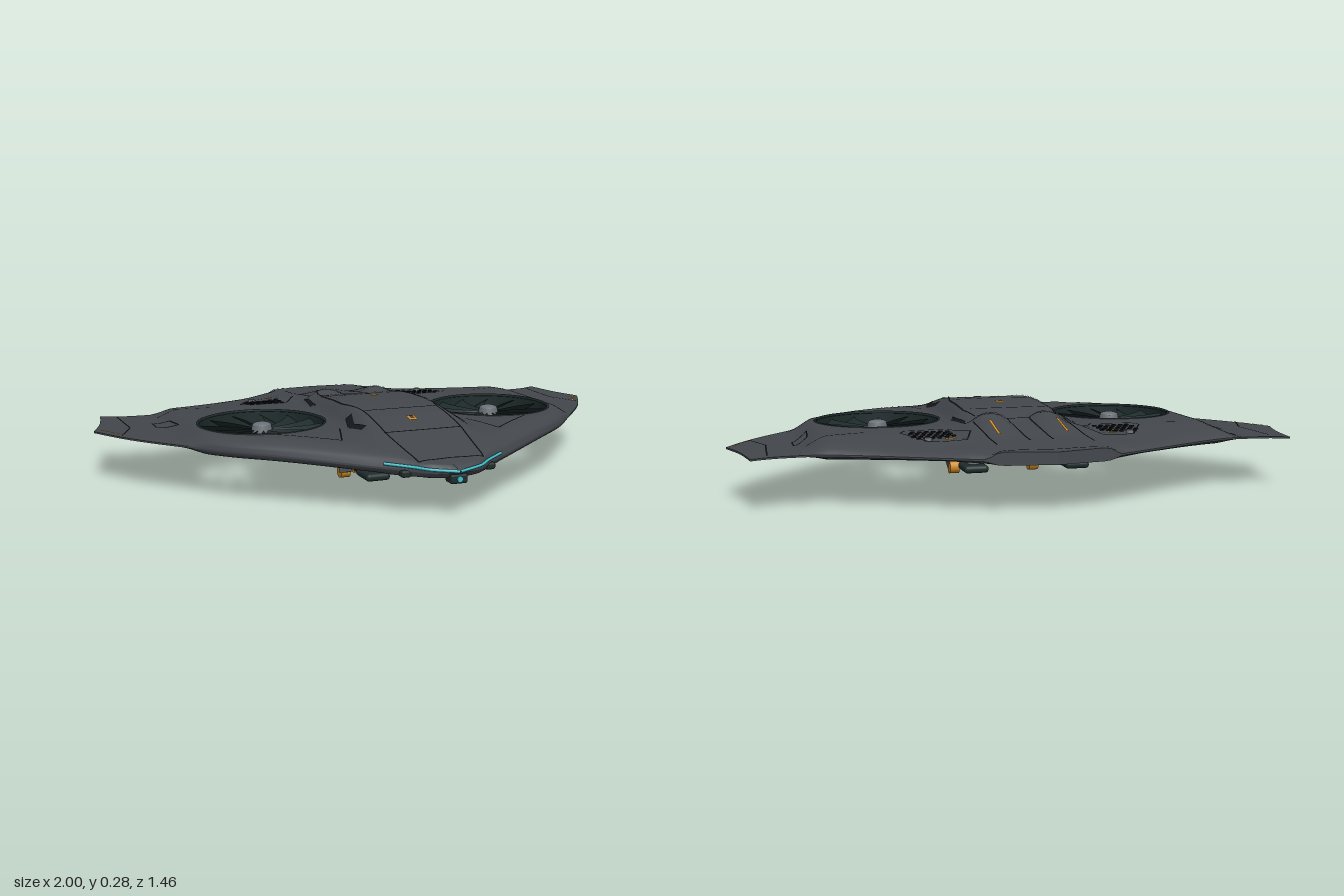
import * as THREE from 'three';
import { mergeGeometries } from 'three/addons/utils/BufferGeometryUtils.js';
import { RoundedBoxGeometry } from 'three/addons/geometries/RoundedBoxGeometry.js';

const mat = (name, color, side = THREE.FrontSide) => {
  const m = new THREE.MeshStandardMaterial({ color, side });
  m.name = name;
  return m;
};
const V2 = (x, z) => new THREE.Vector2(x, z);
const step = THREE.MathUtils.smoothstep, lerp = THREE.MathUtils.lerp;

// Half planform: leading edge nose to wingtip, then trailing edge to tail
const curve = (pts, n) => new THREE.SplineCurve(pts.map(p => V2(...p))).getSpacedPoints(n);
const lead = curve([[0, .725], [.09, .695], [.14, .65], [.3, .535], [.58, .32], [.72, .175], [.89, -.03], [1, -.215]], 56);
const tip = curve([[1, -.215], [.96, -.34], [.935, -.49]], 10);
const trail = curve([[.935, -.49], [.875, -.465], [.8, -.455], [.7, -.46], [.555, -.52], [.395, -.6], [.21, -.69]], 34);
const tail = curve([[.21, -.69], [.1, -.71], [0, -.73]], 10);
const outline = [...lead, ...tip.slice(1), ...trail.slice(1), ...tail.slice(1)];
const FAN = { x: .45, z: .04, r: .225 };

function edgeDistance(x, z) {
  let best = 9;
  for (let i = 1; i < outline.length; i++) {
    const a = outline[i - 1], b = outline[i], dx = b.x - a.x, dz = b.y - a.y;
    const t = THREE.MathUtils.clamp(((x - a.x) * dx + (z - a.y) * dz) / (dx * dx + dz * dz), 0, 1);
    best = Math.min(best, Math.hypot(x - a.x - t * dx, z - a.y - t * dz));
  }
  return best;
}
function profile(table, z) {
  for (let i = 1; i < table.length; i++) {
    const [z0, y0] = table[i - 1], [z1, y1] = table[i];
    if (z <= z1) return lerp(y0, y1, Math.max(0, (z - z0) / (z1 - z0)));
  }
  return table[table.length - 1][1];
}
const spine = [[-.74, .2], [-.5, .214], [-.3, .238], [-.2, .256], [-.1, .27], [0, .277], [.1, .279], [.2, .274], [.3, .262], [.4, .242], [.5, .216], [.65, .18], [.73, .155]];
const belly = [[-.74, .16], [-.45, .15], [-.25, .129], [-.1, .117], [.05, .113], [.25, .116], [.5, .124], [.73, .13]];

// Heights of the upper (up = 1) and lower (up = -1) skin
function skin(ax, z, up) {
  const x = Math.abs(ax), k = 1 - Math.min(edgeDistance(x, z) / .075, 1);
  const stern = (1 - step(x, .17, .23)) * step(-z, .3, .6);
  const e = Math.max(Math.sqrt(1 - k * k), stern);
  const mid = .175 - .025 * step(z, .3, .72);
  const wing = (1 - step(x, .67, .78)) * (1 - .7 * step(-z, .2, .65));
  const thick = .003 + e * wing * (up > 0 ? .043 : .028);
  const wide = .23 + .12 * step(-z, .25, .45);
  const body = (1 - step(x, .145, wide)) * e;
  const hump = Math.max(0, 1 - ((x - .1) / .06) ** 2) * step(-z, .22, .26) * (1 - step(-z, .26, .5));
  return lerp(mid + up * thick, profile(up > 0 ? spine : belly, z), body) + (up > 0 ? .024 * hump : 0);
}

// One half of the hull: rings spreading from the fan opening to the outline
function hullHalf(s) {
  const loop = [...outline];
  for (let i = 1; i < 48; i++) loop.push(V2(0, lerp(-.73, .725, i / 48)));
  const n = loop.length, R = 34, pos = [], idx = [];
  const quad = (a, b, c, d, flip) => flip ? idx.push(a, c, b, a, d, c) : idx.push(a, b, c, a, c, d);
  for (const up of [1, -1]) {
    const base = pos.length / 3;
    for (let r = 0; r <= R; r++) for (const p of loop) {
      const a = Math.atan2(p.y - FAN.z, p.x - FAN.x);
      const x = lerp(FAN.x + FAN.r * Math.cos(a), p.x, r / R), z = lerp(FAN.z + FAN.r * Math.sin(a), p.y, r / R);
      pos.push(s * x, skin(x, z, up), z);
    }
    for (let r = 0; r < R; r++) for (let i = 0; i < n; i++) {
      const j = (i + 1) % n, a = base + r * n, b = a + n;
      quad(a + i, b + i, b + j, a + j, s * up < 0);
    }
  }
  // rim joining both skins
  const base = pos.length / 3;
  for (const p of outline) for (const up of [1, -1]) pos.push(s * p.x, skin(p.x, p.y, up), p.y);
  for (let i = 0; i < outline.length - 1; i++) {
    const a = base + i * 2;
    quad(a, a + 1, a + 3, a + 2, s < 0);
  }
  const g = new THREE.BufferGeometry();
  g.setAttribute('position', new THREE.Float32BufferAttribute(pos, 3));
  g.setIndex(idx);
  g.computeVertexNormals();
  return g;
}

// Thin strip laid over the skin along a path of [x, z] points
function strip(path, width, s = 1, up = 1, lift = .003) {
  const pieces = [];
  for (let i = 1; i < path.length; i++) {
    const [x0, z0] = path[i - 1], [x1, z1] = path[i], len = Math.hypot(x1 - x0, z1 - z0);
    const g = new THREE.PlaneGeometry(1, 1, Math.ceil(len / .02), 1), p = g.attributes.position;
    for (let k = 0; k < p.count; k++) {
      const t = p.getX(k) + .5, w = p.getY(k) * width;
      const x = lerp(x0, x1, t) - w * (z1 - z0) / len, z = lerp(z0, z1, t) + w * (x1 - x0) / len;
      p.setXYZ(k, s * x, skin(x, z, up) + up * lift, z);
    }
    g.computeVertexNormals();
    // keep strip normals facing away from the skin
    const nm = g.attributes.normal, q = g.index.array;
    if (nm.getY(0) * up < 0) {
      for (let k = 0; k < q.length; k += 3) [q[k + 1], q[k + 2]] = [q[k + 2], q[k + 1]];
      g.computeVertexNormals();
    }
    pieces.push(g);
  }
  return mergeGeometries(pieces);
}

export function createModel() {
  const root = new THREE.Group();
  root.name = 'twinFanDrone';
  const hull = mat('hull grey', 0x43474c), line = mat('panel line black', 0x15171a, THREE.DoubleSide);
  const dark = mat('dark teal', 0x1f2c2c, THREE.DoubleSide), grey = mat('metal grey', 0x6a7076);
  const orange = mat('orange', 0xd08a20, THREE.DoubleSide), cyan = mat('cyan', 0x3fbfcb, THREE.DoubleSide);
  const add = (name, geo, m, x = 0, y = 0, z = 0, parent = root) => {
    const o = new THREE.Mesh(geo, m);
    o.name = name;
    o.position.set(x, y, z);
    parent.add(o);
    return o;
  };
  const rod = (name, a, b, w, h, m) => {
    const A = new THREE.Vector3(...a), B = new THREE.Vector3(...b);
    const o = add(name, new THREE.BoxGeometry(w, h, A.distanceTo(B)), m);
    o.position.copy(A).lerp(B, .5);
    o.lookAt(B);
  };

  // Panel lines, each mirrored to both sides
  const seams = [
    [[.14, .235], [.165, .1], [.165, -.12], [.14, -.26]], [[.14, .235], [.14, .44], [.115, .66]],
    [[0, -.26], [.19, -.26], [.2, -.1]], [[0, -.125], [.14, -.125]], [[0, .235], [.14, .235]], [[0, .44], [.14, .44]], [[0, .65], [.115, .66]],
    [[.47, .29], [.29, .43], [.24, .27]], [[.88, -.44], [.87, -.22], [.92, -.09]],
    [[.55, -.29], [.75, -.33]], [[.73, -.2], [.78, -.27], [.78, -.19], [.72, -.09], [.73, -.2]],
    [[.235, -.48], [.36, -.45], [.43, -.32], [.41, -.29], [.26, -.28], [.2, -.38], [.235, -.48]],
    [[.2, -.69], [.1, -.69], [0, -.7]], [[.04, -.26], [.04, -.55]], [[.165, -.27], [.165, -.6]],
  ];
  for (const s of [1, -1]) {
    const side = s > 0 ? 'left' : 'right';
    add(side + 'Hull', hullHalf(s), hull);
    add(side + 'PanelLines', mergeGeometries(seams.map(p => strip(p, .005, s))), line);
    add(side + 'SideIntake', strip([[.185, .21], [.205, .29], [.185, .36]], .022, s), line);
    add(side + 'RearIntake', strip([[.19, -.24], [.205, -.12]], .014, s), line);
    add(side + 'SpineStripe', strip([[.12, -.46], [.12, -.33]], .009, s, 1, .004), orange);

    // Wingtip dashes
    for (let i = 0; i < 5; i++) {
      const p = t => [lerp(.975, .905, t), lerp(-.21, -.095, t)];
      add(side + 'TipDash', strip([p(i / 5), p(i / 5 + .15)], .007, s, 1, .004), orange);
    }

    // Vent grille
    const dots = [];
    for (let r = 0; r < 5; r++) for (let c = 0; c < 6; c++) {
      const x = .262 + c * .024 + (r % 2) * .012 + r * .001, z = -.4 + r * .022;
      dots.push(new THREE.CylinderGeometry(.008, .008, .004, 6).translate(s * x, skin(x, z, 1) + .002, z));
    }
    add(side + 'VentGrille', mergeGeometries(dots), line);
    add(side + 'VentMark', strip([[.265, -.445], [.3, -.44]], .018, s, 1, .005), orange);
    add(side + 'VentLight', strip([[.225, -.465], [.25, -.465]], .006, s, 1, .005), cyan);
    add(side + 'VentKnob', new THREE.CylinderGeometry(.012, .014, .012, 12), grey, s * .355, skin(.355, -.425, 1) + .005, -.425);

    // Ducted fan
    const fan = new THREE.Group();
    fan.name = side + 'Fan';
    fan.position.set(s * FAN.x, 0, FAN.z);
    root.add(fan);
    add('duct', new THREE.CylinderGeometry(.2235, .2235, .072, 64, 1, true), dark, 0, .183, 0, fan);
    add('ductLip', new THREE.TorusGeometry(.225, .005, 8, 64).rotateX(Math.PI / 2), dark, 0, .219, 0, fan);
    add('hub', new THREE.CylinderGeometry(.034, .044, .045, 24), grey, 0, .187, 0, fan);
    add('hubCap', new THREE.SphereGeometry(.034, 24, 8, 0, Math.PI * 2, 0, Math.PI / 2).scale(1, .35, 1), grey, 0, .209, 0, fan);
    const blades = [];
    for (let k = 0; k < 13; k++) {
      const g = new THREE.PlaneGeometry(1, 1, 8, 4), p = g.attributes.position;
      for (let i = 0; i < p.count; i++) {
        const t = p.getX(i) + .5, c = p.getY(i) * 2, r = lerp(.035, .221, t);
        const a = s * (k / 13 * Math.PI * 2 + c * lerp(.23, .185, t) + .18 * t * t);
        p.setXYZ(i, r * Math.cos(a), .183 + c * lerp(.012, .022, t), r * Math.sin(a));
      }
      g.computeVertexNormals();
      blades.push(g);
    }
    add('blades', mergeGeometries(blades), dark, 0, 0, 0, fan);

    // Landing pads
    for (const [z, name] of [[.43, 'FrontPad'], [-.335, 'RearPad']]) {
      add(side + name, new RoundedBoxGeometry(.085, .026, .11, 3, .012), dark, s * .18, .094, z);
      add(side + name + 'Strut', new THREE.CylinderGeometry(.018, .022, .06, 16), grey, s * .18, .135, z);
      add(side + name + 'Collar', new THREE.CylinderGeometry(.03, .03, .014, 16), grey, s * .18, .143, z);
    }

    // Folded arm with orange joints
    const joint = (name, r, w, x, y, z) => add(side + name, new THREE.CylinderGeometry(r, r, w, 20).rotateZ(Math.PI / 2), orange, s * x, y, z);
    joint('Shoulder', .024, .036, .13, .088, .205);
    joint('Elbow', .025, .036, .155, .025, .08);
    joint('Wrist', .017, .03, .155, .066, .215);
    rod(side + 'UpperArm', [s * .135, .09, .205], [s * .152, .03, .085], .026, .03, grey);
    rod(side + 'Forearm', [s * .165, .03, .085], [s * .155, .068, .22], .022, .024, grey);
    rod(side + 'Gripper', [s * .155, .07, .22], [s * .155, .072, .312], .032, .02, dark);
    add(side + 'NosePod', new RoundedBoxGeometry(.035, .024, .04, 2, .008), dark, s * .15, .14, .63);

    // Glowing strip along the nose edge
    const nose = lead.filter(p => p.x < .22);
    const tube = new THREE.CatmullRomCurve3(nose.map(p => new THREE.Vector3(s * p.x, .153 + p.x * .08, p.y + .001)));
    add(side + 'NoseLight', new THREE.TubeGeometry(tube, 24, .0055, 6), cyan);
  }

  // Arm mount under the belly
  add('armCrossbar', new THREE.BoxGeometry(.26, .022, .035), grey, 0, .1, .19);
  add('armMount', new THREE.BoxGeometry(.13, .016, .12), grey, 0, .106, .15);
  add('bellyHatch', strip([[-.07, -.08], [.07, -.08], [.07, -.22], [-.07, -.22], [-.07, -.08]], .005, 1, -1), line);

  // Spine markers
  for (const z of [-.01, .34]) {
    add('spineMarker', strip([[0, z - .02], [0, z + .02]], .03, 1, 1, .004), orange);
    add('spineMarkerCore', strip([[0, z - .011], [0, z + .011]], .013, 1, 1, .006), hull);
  }

  // Nose sensor
  add('noseSensor', new RoundedBoxGeometry(.06, .032, .05, 2, .008), dark, 0, .128, .7);
  add('noseLens', new THREE.CylinderGeometry(.01, .01, .006, 16).rotateX(Math.PI / 2), cyan, 0, .128, .726);
  return root;
}
